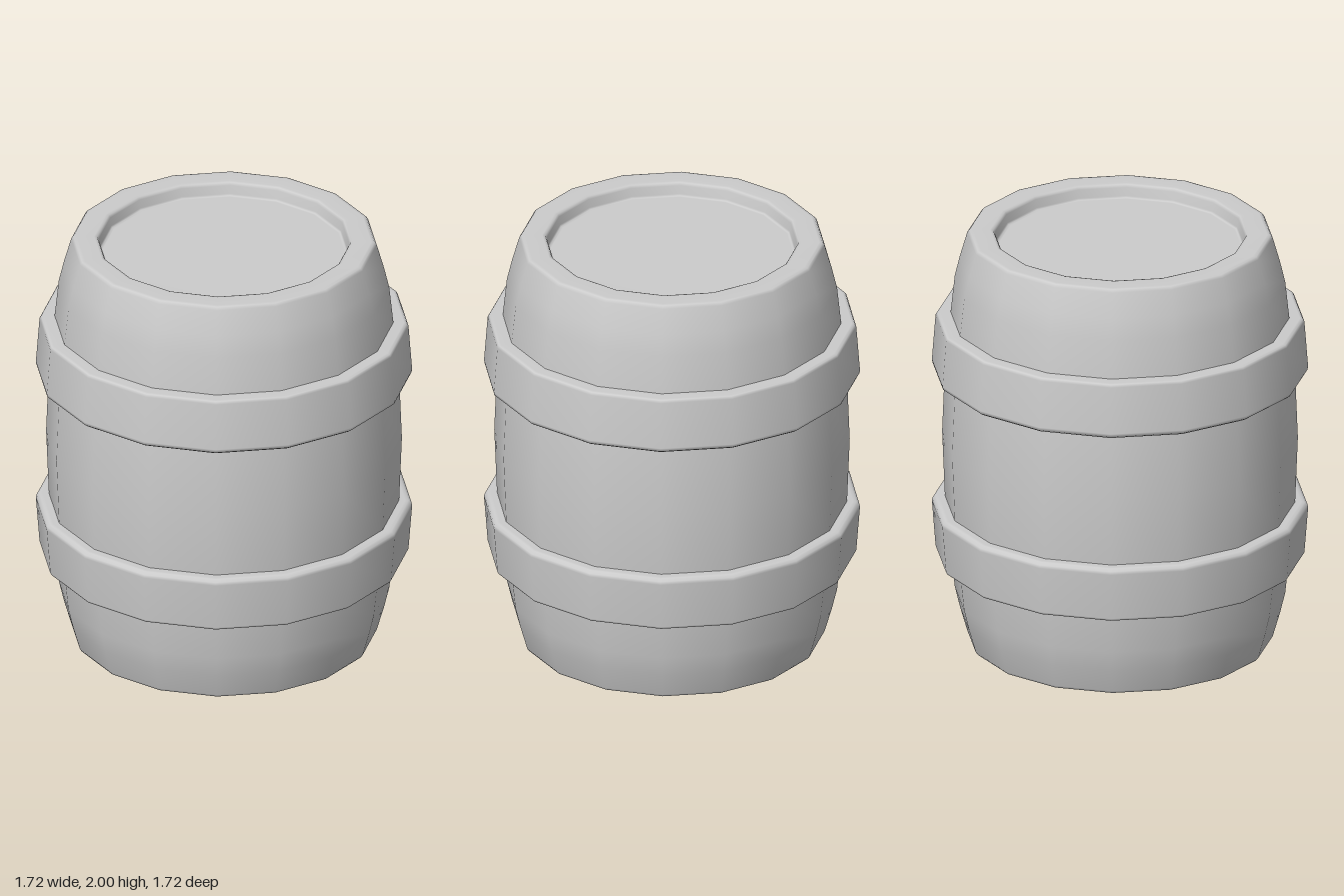
import * as THREE from 'three';

const SIDES = 16;
const material = new THREE.MeshStandardMaterial({ color: 0xcccccc });

// Revolve a [radius, height] profile, listed from bottom to top
function revolve(name, profile) {
  const points = profile.map(([r, y]) => new THREE.Vector2(r, y));
  const mesh = new THREE.Mesh(new THREE.LatheGeometry(points, SIDES), material);
  mesh.name = name;
  return mesh;
}

export function createModel() {
  const barrel = new THREE.Group();
  barrel.name = 'barrel';

  // Bulging body with a flat base and a rounded rim around a sunken lid
  const lower = [[0.7, 0.015], [0.733, 0.13], [0.757, 0.23], [0.776, 0.41], [0.802, 0.67]];
  const upper = lower.map(([r, y]) => [r, 2 - y]).reverse();
  barrel.add(revolve('body', [
    [0, 0], [0.675, 0], [0.69, 0.002],
    ...lower, [0.815, 1], ...upper,
    [0.69, 1.998], [0.675, 2],
    [0.595, 2], [0.582, 1.997], [0.575, 1.985],
    [0.57, 1.945], [0.565, 1.937], [0.555, 1.935], [0, 1.935],
  ]));

  // Two hoops with softened edges, each widening towards the belly
  const hoop = [
    [0.76, 0.417], [0.825, 0.417], [0.838, 0.42], [0.845, 0.432],
    [0.862, 0.655], [0.859, 0.67], [0.845, 0.68], [0.83, 0.681], [0.78, 0.681],
  ];
  barrel.add(revolve('lowerHoop', hoop));
  barrel.add(revolve('upperHoop', hoop.map(([r, y]) => [r, 2.007 - y]).reverse()));

  return barrel;
}
